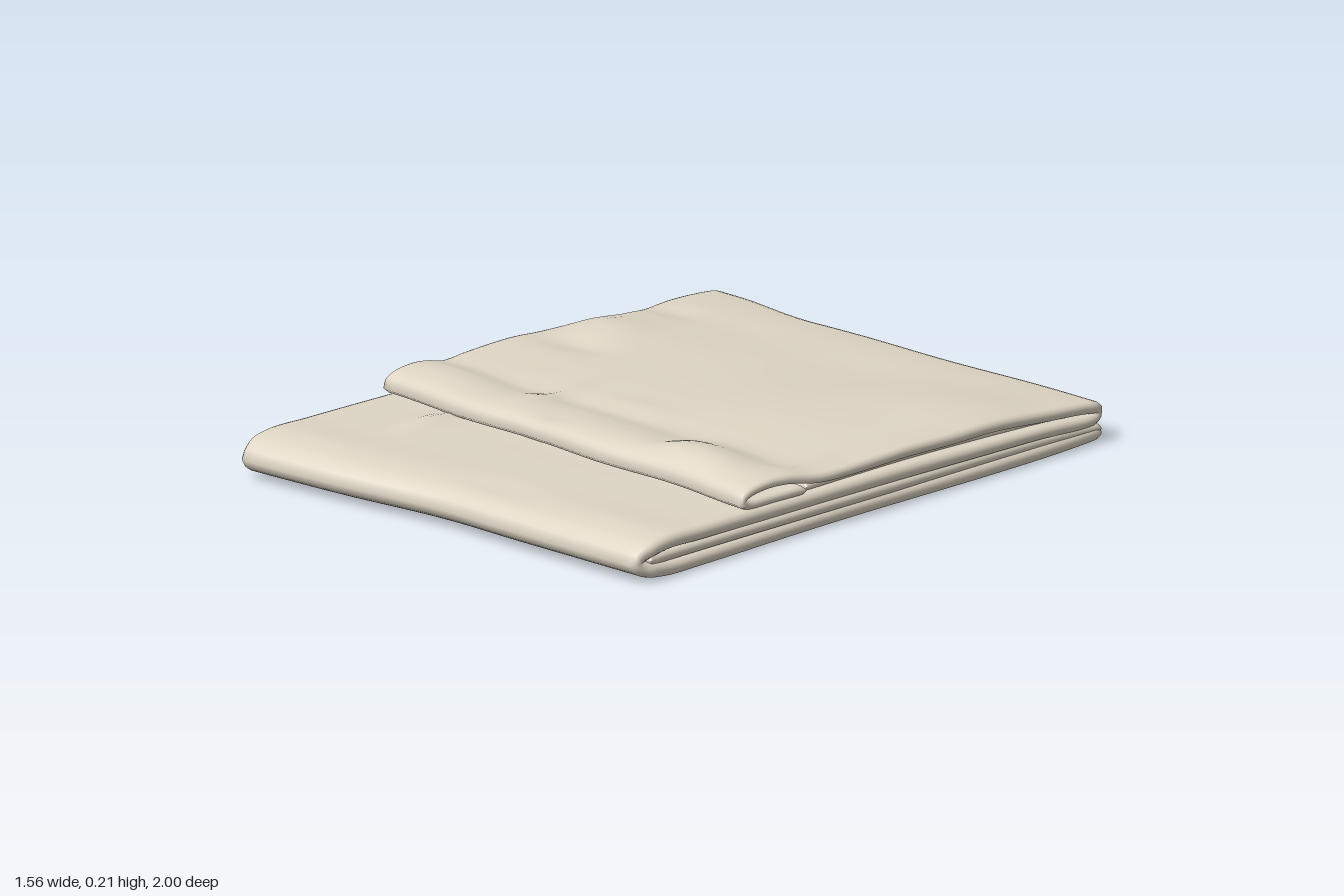
import * as THREE from 'three';

const cloth = new THREE.MeshStandardMaterial({ color: 0xdfd6c5 });
cloth.name = 'beige cloth';

const step = THREE.MathUtils.smoothstep;
const HALF_WIDTH = 0.78;

// soft dents and creases in the top flap: x, z, radius x, radius z, height
const TOP_BUMPS = [
  [0.46, 0.34, 0.22, 0.13, 0.026], [-0.62, 0.28, 0.15, 0.16, 0.01],
  [-0.3, 0.2, 0.035, 0.13, 0.012], [-0.13, 0.38, 0.05, 0.1, -0.01],
  [-0.6, -0.22, 0.12, 0.07, -0.014], [-0.66, -0.42, 0.12, 0.1, 0.012],
  [-0.4, -0.7, 0.2, 0.2, -0.01], [0.6, -0.5, 0.25, 0.2, 0.012],
  [0.3, -0.15, 0.3, 0.25, 0.006], [0.72, 0.22, 0.07, 0.1, 0.014],
  [0.27, 0.3, 0.06, 0.1, -0.01], [-0.66, -0.68, 0.1, 0.06, -0.012],
  [-0.05, 0.12, 0.12, 0.06, 0.006], [0.1, -0.6, 0.25, 0.2, -0.006],
];
// the same for the layer below
const LOWER_BUMPS = [
  [-0.49, 0.5, 0.04, 0.12, 0.016], [0.1, 0.86, 0.14, 0.06, -0.006],
  [-0.6, 0.85, 0.2, 0.1, 0.005], [0.6, 0.85, 0.2, 0.1, 0.005],
];
const bumps = (list, x, z) => list.reduce((sum, [bx, bz, rx, rz, h]) =>
  sum + h * Math.exp(-(((x - bx) / rx) ** 2) - ((z - bz) / rz) ** 2), 0);

// rounded strip section: c = place across the width, e and n = edge rounding
function stripSection(columns = 56, arc = 6) {
  const ring = [];
  const edge = (c, start) => {
    for (let k = 0; k <= arc; k++) {
      const a = start + (Math.PI * k) / arc;
      ring.push({ c, e: Math.cos(a), n: Math.sin(a) });
    }
  };
  edge(1, -Math.PI / 2);
  for (let k = 1; k < columns; k++) ring.push({ c: 1 - (2 * k) / columns, e: 0, n: 1 });
  edge(-1, Math.PI / 2);
  for (let k = 1; k < columns; k++) ring.push({ c: -1 + (2 * k) / columns, e: 0, n: -1 });
  return ring;
}

// slow drift of the fold edges and the bumps of each layer of the folded cloth
function drape(x, y, z, f) {
  const top = step(f, 0.7, 0.76);
  const lower = 1 - step(f, 0.6, 0.7);
  const second = step(f, 0.31, 0.36) * lower;
  const roll = top * step(z, -0.1, 0.4);
  let dz = -0.04 * Math.exp(-((x / 0.36) ** 2)) * step(z, 0.3, 1) * lower;
  dz -= 0.015 * step(x, 0.1, 0.5) * step(z, 0.3, 1) * lower;
  // the base reaches less far back at the corner than the upper fold
  dz -= (f < 0.3 ? 0.02 : 0.037) * step(-x, 0.35, 0.68) * step(-z, 0.5, 1);
  dz += 0.004 * Math.sin(x * 9) * step(-z, 0.6, 1);
  dz += roll * (0.078 * x + 0.006 * Math.sin(x * 11));
  // the roll's underside stays flat on the layer below
  const free = 1 - 0.8 * step(f, 0.94, 0.96);
  const droop = -0.01 * step(Math.abs(x), 0.66, 0.77) * step(-z, 0.1, 0.4);
  const dy = free * top * (bumps(TOP_BUMPS, x, z) + droop + 0.003 * Math.sin(5 * x + 3 * z))
    + second * bumps(LOWER_BUMPS, x, z);
  return [x, y + dy, z + dz];
}

// the tucked sheets only follow the drift of the two folds
function drapeTucked(x, y, z) {
  const dz = -0.04 * Math.exp(-((x / 0.36) ** 2)) * step(z, 0.3, 1);
  return [x, y, z + dz - 0.02 * step(-x, 0.35, 0.68) * step(-z, 0.5, 1)];
}

// where the side edges lie at each station of the folded cloth
function clothEdges(f, z) {
  const top = step(f, 0.72, 0.78);
  const corner = 0.014 * step(Math.abs(z), 0.92, 0.985);
  return {
    right: HALF_WIDTH - 0.006 + 0.006 * Math.sin(f * 23) - corner
      - 0.018 * top * step(z, 0.1, 0.35),
    left: HALF_WIDTH - 0.005 + 0.005 * Math.sin(f * 17 + 1) - corner
      - 0.035 * top * Math.exp(-(((z + 0.55) / 0.24) ** 2)),
  };
}

// sweeps the strip along a path of [z, y] points
function sheet(name, path, stations, thickness, edges, warp) {
  const curve = new THREE.CatmullRomCurve3(
    path.map(([z, y]) => new THREE.Vector3(0, y, z)), false, 'centripetal');
  curve.arcLengthDivisions = 1500;
  const length = curve.getLength();
  const ring = stripSection();
  const positions = [], index = [];
  const ends = 0.012; // crowd stations at both ends so that they round off
  for (let i = 0; i <= stations; i++) {
    let f = ends + (1 - 2 * ends) * (i - 6) / (stations - 12);
    if (i < 6) f = ends * (i / 6) ** 2;
    else if (i > stations - 6) f = 1 - ends * ((stations - i) / 6) ** 2;
    const p = curve.getPointAt(f), t = curve.getTangentAt(f);
    const full = thickness(f);
    const d = Math.min(1, (Math.min(f, 1 - f) * length) / full);
    const h = full * Math.sqrt(Math.max(0, 1 - (1 - d) ** 2));
    const { right, left } = edges(f, p.z);
    for (const { c, e, n } of ring) {
      const x = c * ((c > 0 ? right : left) - full) + e * full;
      positions.push(...warp(x, p.y + t.z * n * h, p.z - t.y * n * h, f));
    }
  }
  const m = ring.length;
  for (let i = 0; i < stations; i++) {
    for (let j = 0; j < m; j++) {
      const a = i * m + j, b = i * m + (j + 1) % m;
      index.push(a, b, a + m, b, b + m, a + m);
    }
  }
  const geometry = new THREE.BufferGeometry();
  geometry.setAttribute('position', new THREE.Float32BufferAttribute(positions, 3));
  geometry.setIndex(index);
  geometry.computeVertexNormals();
  const mesh = new THREE.Mesh(geometry, cloth);
  mesh.name = name;
  return mesh;
}

export function createModel() {
  const group = new THREE.Group();
  group.name = 'foldedBlanket';

  // one long cloth: base, front fold, second layer, back fold, top flap, rolled hem
  const folds = [
    [-0.95, 0.033], [-0.8, 0.029], [0, 0.028], [0.7, 0.028], [0.88, 0.031],
    [0.95, 0.044], [0.978, 0.066], [0.95, 0.09], [0.88, 0.104], [0.7, 0.104],
    [0.3, 0.097], [-0.2, 0.095], [-0.7, 0.084], [-0.9, 0.073],
    [-0.937, 0.08], [-0.948, 0.093], [-0.937, 0.105], [-0.89, 0.114],
    [-0.7, 0.132], [-0.45, 0.147], [-0.15, 0.156], [0.08, 0.156], [0.2, 0.153],
    [0.29, 0.17], [0.36, 0.176], [0.43, 0.168], [0.456, 0.15],
    [0.43, 0.134], [0.36, 0.129], [0.22, 0.128],
  ];
  const thickness = (f) => 0.022 - 0.004 * step(f, 0.55, 0.68) - 0.004 * step(f, 0.86, 0.93);
  group.add(sheet('foldedCloth', folds, 420, thickness, clothEdges, drape));

  // sheets tucked inside the lower and upper folds, the upper one set further in
  const lowerTuck = [[-0.945, 0.045], [-0.7, 0.054], [0, 0.061], [0.6, 0.066], [0.92, 0.067]];
  const upperTuck = [[-0.9, 0.094], [-0.5, 0.116], [-0.15, 0.127], [0.24, 0.126]];
  const lowerEdges = () => ({ right: HALF_WIDTH - 0.01, left: HALF_WIDTH - 0.012 });
  const upperEdges = () => ({ right: HALF_WIDTH - 0.045, left: HALF_WIDTH - 0.035 });
  group.add(sheet('lowerInnerSheet', lowerTuck, 50, () => 0.017, lowerEdges, drapeTucked));
  group.add(sheet('upperInnerSheet', upperTuck, 50, () => 0.014, upperEdges, drapeTucked));

  return group;
}
